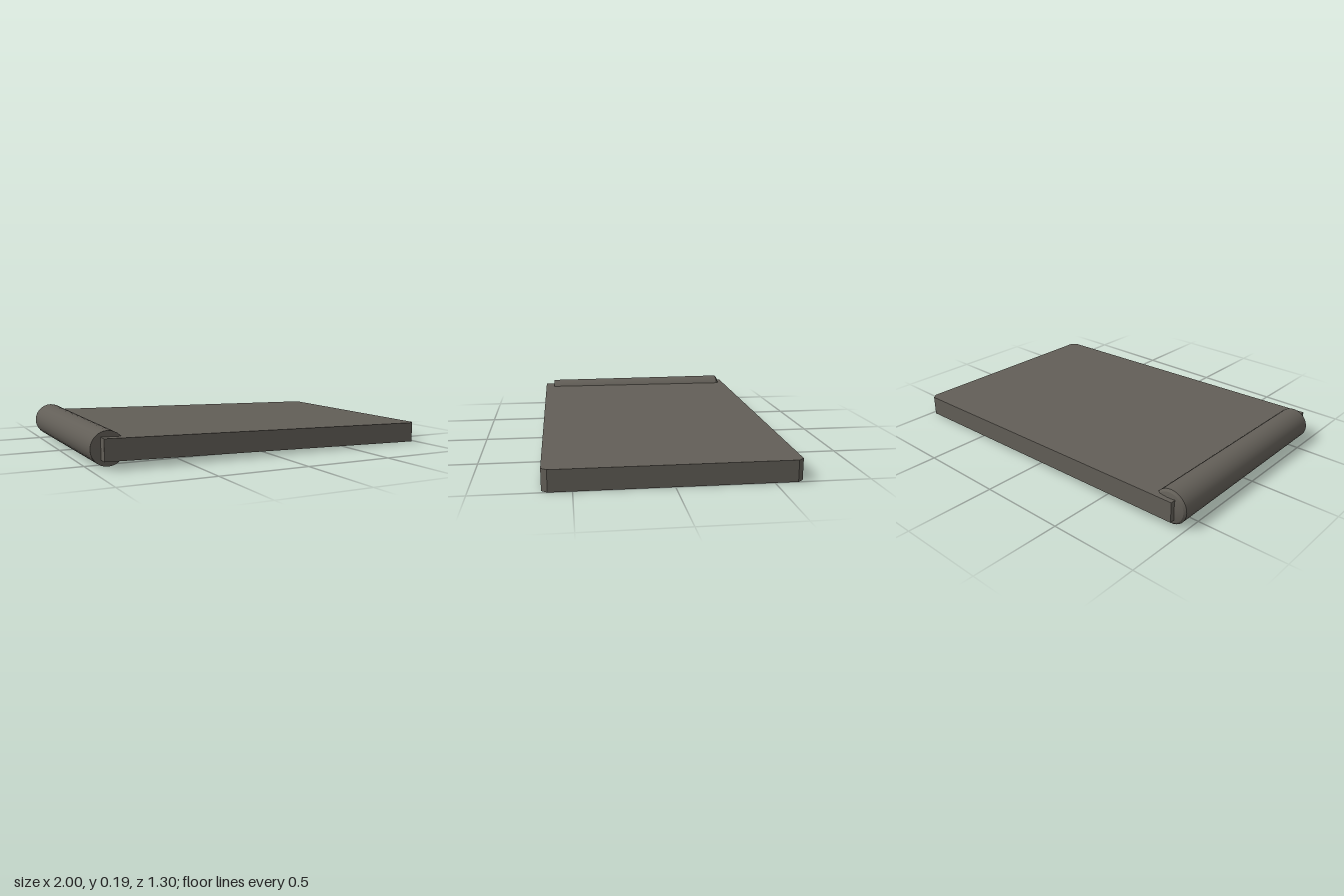
import * as THREE from 'three';
import { toCreasedNormals } from 'three/addons/utils/BufferGeometryUtils.js';

export function createModel() {
  const group = new THREE.Group();
  const grey = new THREE.MeshStandardMaterial({ color: 0x625e57 });
  grey.name = 'warm grey';

  const add = (geometry, name) => {
    const mesh = new THREE.Mesh(geometry, grey);
    mesh.name = name;
    group.add(mesh);
    return mesh;
  };

  // Slab: plan outline with two clipped corners at the low end
  const outline = new THREE.Shape([
    [-0.94, -0.65], [0.975, -0.65], [1, -0.62],
    [1, 0.62], [0.975, 0.65], [-0.94, 0.65],
  ].map(([x, y]) => new THREE.Vector2(x, y)));
  const slab = new THREE.ExtrudeGeometry(outline, { depth: 0.114, bevelEnabled: false });
  slab.rotateX(-Math.PI / 2);

  // Slope the slab gently down towards +x, keeping its ends upright
  const pos = slab.attributes.position;
  for (let i = 0; i < pos.count; i++) {
    pos.setY(i, pos.getY(i) + 0.043 * (1 - pos.getX(i)) / 1.94);
  }
  slab.computeVertexNormals();
  add(slab, 'slab');

  // Hinge roll: slightly tapered cylinder, flat in front and bevelled behind
  const profile = [
    [0, -0.625], [0.055, -0.624], [0.085, -0.615], [0.096, -0.603],
    [0.09, 0.593], [0, 0.595],
  ].map(([r, z]) => new THREE.Vector2(r, z));
  const roll = new THREE.LatheGeometry(profile, 32);
  roll.rotateX(Math.PI / 2);
  add(toCreasedNormals(roll, 0.5), 'hingeRoll').position.set(-0.904, 0.098, 0);

  return group;
}
